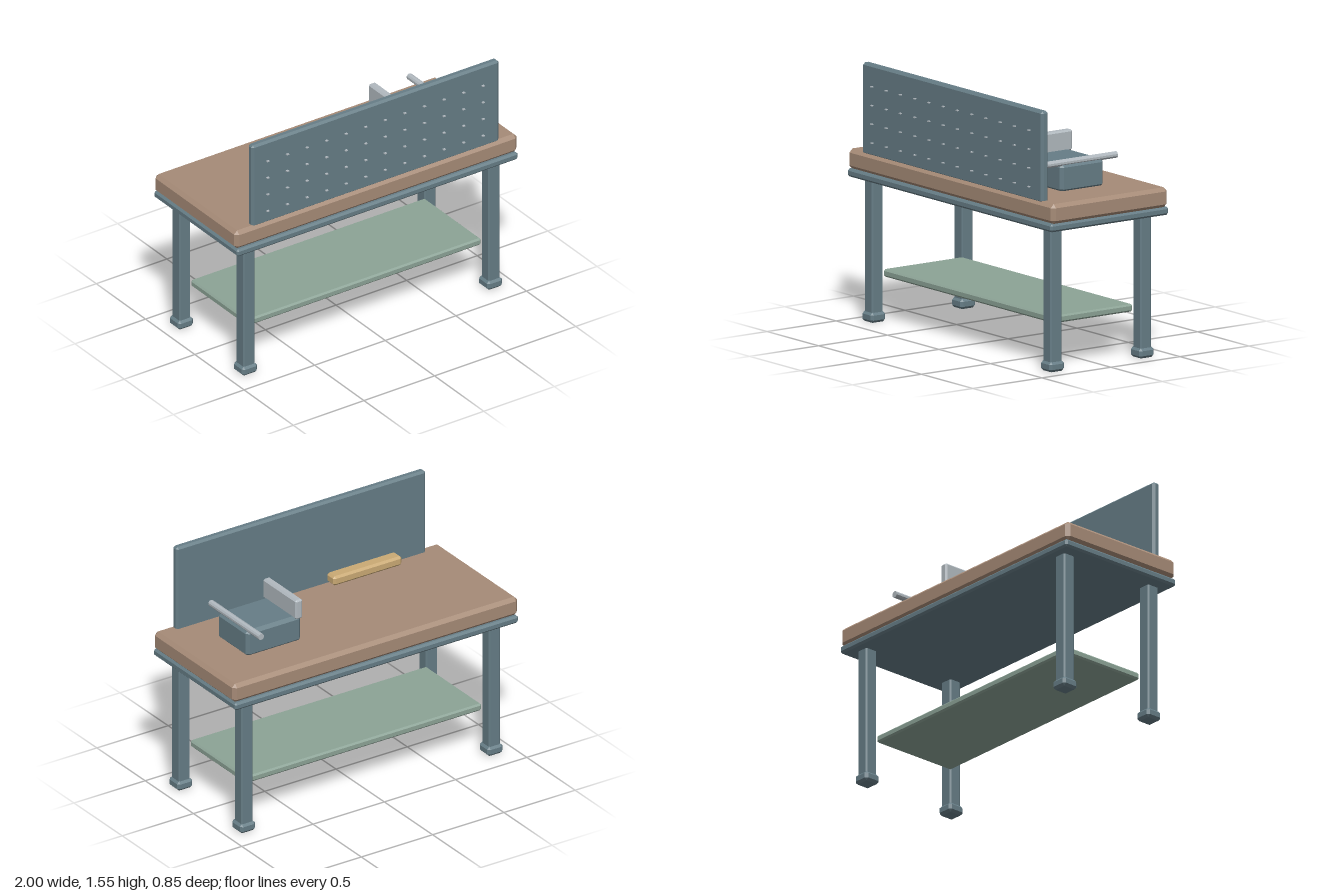
import * as THREE from 'three';
import { ConvexGeometry } from 'three/addons/geometries/ConvexGeometry.js';

const material = (name, color) => Object.assign(new THREE.MeshStandardMaterial({ color }), { name });

// Box with 45 degree chamfers on every edge
function chamferBox(w, h, d, c) {
  const points = [];
  for (const x of [-1, 1]) for (const y of [-1, 1]) for (const z of [-1, 1]) {
    const a = w / 2, b = h / 2, e = d / 2;
    points.push(
      new THREE.Vector3(x * a, y * (b - c), z * (e - c)),
      new THREE.Vector3(x * (a - c), y * b, z * (e - c)),
      new THREE.Vector3(x * (a - c), y * (b - c), z * e));
  }
  return new ConvexGeometry(points);
}

export function createModel() {
  const group = new THREE.Group();
  group.name = 'workbench';
  const wood = material('wood', 0xa68b77);
  const paint = material('bluePaint', 0x667d86);
  const shelfGreen = material('shelfGreen', 0x8ca396);
  const steel = material('steel', 0xb1b9bf);
  const tan = material('tanWood', 0xcaaa74);

  const add = (name, geometry, mat, x, y, z) => {
    const mesh = new THREE.Mesh(geometry, mat);
    mesh.name = name;
    mesh.position.set(x, y, z);
    group.add(mesh);
    return mesh;
  };

  // Top slab, frame beneath it and lower shelf
  add('worktop', chamferBox(2, 0.12, 0.84, 0.022), wood, 0, 0.955, 0);
  add('frame', chamferBox(1.99, 0.048, 0.854, 0.012), paint, 0, 0.874, 0);
  add('shelf', chamferBox(1.66, 0.045, 0.575, 0.01), shelfGreen, 0, 0.288, 0);

  // Four legs with feet
  const legGeometry = chamferBox(0.08, 0.84, 0.08, 0.008);
  const footGeometry = chamferBox(0.107, 0.06, 0.107, 0.015);
  for (const x of [-0.868, 0.868]) for (const z of [-0.325, 0.325]) {
    add('leg', legGeometry, paint, x, 0.44, z);
    add('foot', footGeometry, paint, x, 0.03, z);
  }

  // Upright panel with a grid of small pegs
  add('pegPanel', chamferBox(1.75, 0.545, 0.05, 0.013), paint, 0, 1.273, 0.381);
  const pegGeometry = new THREE.BoxGeometry(0.016, 0.006, 0.03);
  for (let row = 0; row < 4; row++) for (let col = 0; col < 12; col++) {
    add('peg', pegGeometry, steel, -0.77 + col * 0.1386, 1.083 + row * 0.1115, 0.404);
  }

  // Vise: body, jaw plate and handle
  add('viseBody', chamferBox(0.385, 0.17, 0.314, 0.02), paint, 0.537, 1.09, 0);
  add('viseJaw', chamferBox(0.05, 0.125, 0.346, 0.01), steel, 0.373, 1.226, 0);
  const handle = new THREE.CylinderGeometry(0.02, 0.02, 0.52, 10).toNonIndexed();
  handle.computeVertexNormals();
  add('viseHandle', handle, steel, 0.701, 1.18, 0).rotation.x = Math.PI / 2;

  // Loose block of timber
  add('timberBlock', chamferBox(0.48, 0.06, 0.083, 0.013), tan, -0.381, 1.084, 0.269);

  return group;
}
